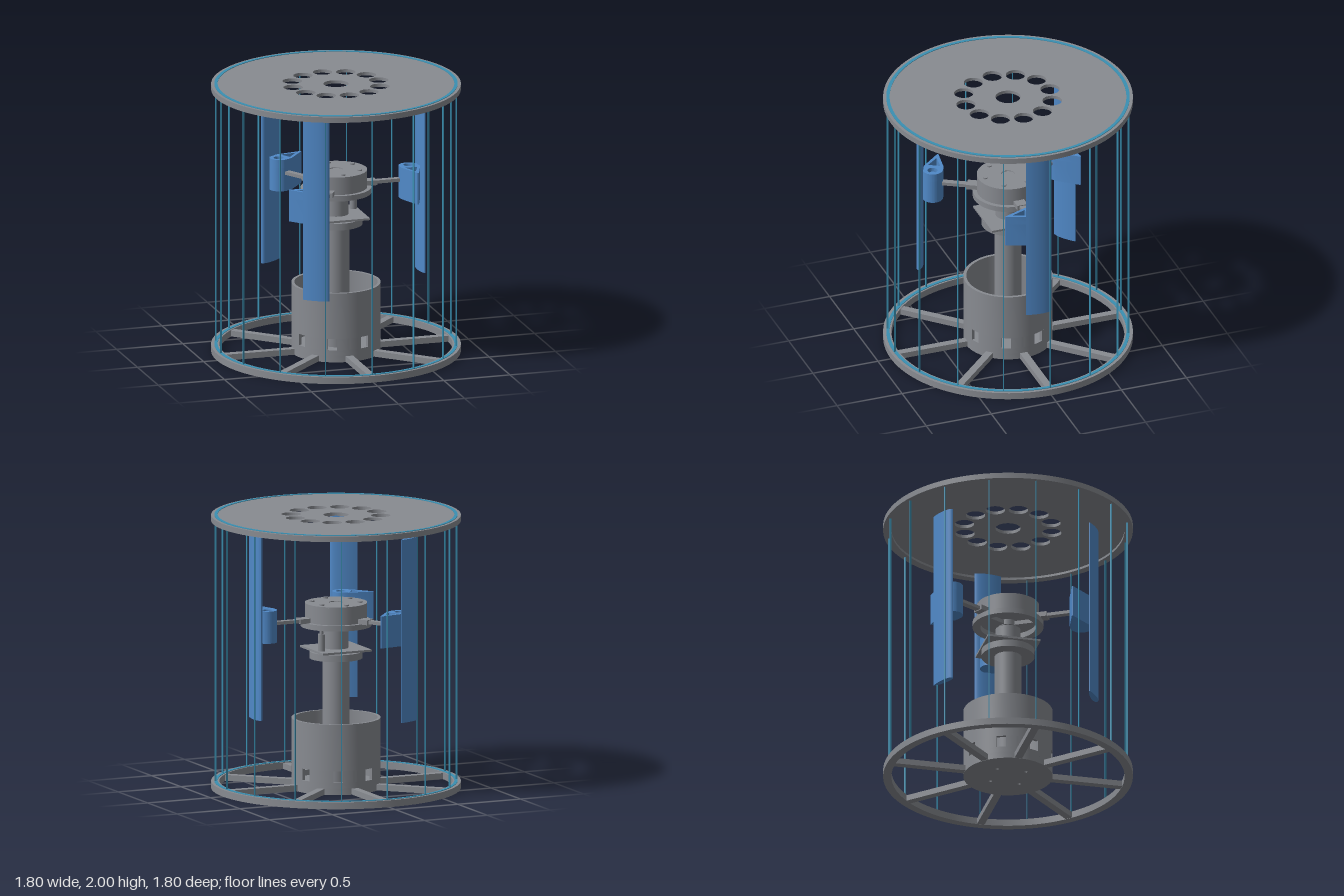
import * as THREE from 'three';
import { toCreasedNormals } from 'three/addons/utils/BufferGeometryUtils.js';

const TAU = Math.PI * 2;

export function createModel() {
  const model = new THREE.Group();
  model.name = 'verticalAxisTurbine';

  const grey = new THREE.MeshStandardMaterial({ name: 'metalGrey', color: 0x888b91 });
  const blue = new THREE.MeshStandardMaterial({ name: 'bladeBlue', color: 0x5089c8 });
  const teal = new THREE.MeshStandardMaterial({ name: 'cageTeal', color: 0x3a90b2 });

  // ---- helpers ----
  const add = (name, geo, mat, parent = model) => {
    const m = new THREE.Mesh(geo, mat);
    m.name = name;
    parent.add(m);
    return m;
  };
  // Horizontal slab: shape (x, y) becomes plan (x, z)
  const slab = (shape, y0, y1, segs = 48) => {
    const g = new THREE.ExtrudeGeometry(shape, { depth: y1 - y0, bevelEnabled: false, curveSegments: segs });
    g.rotateX(Math.PI / 2).translate(0, y1, 0);
    return toCreasedNormals(g, 0.5);
  };
  const circle = (r, x = 0, z = 0) => new THREE.Shape().absarc(x, z, r, 0, TAU, false);
  const hole = (r, x = 0, z = 0) => new THREE.Path().absarc(x, z, r, 0, TAU, true);
  const ring = (ro, ri, y0, y1, segs = 64) => {
    const s = circle(ro);
    s.holes.push(hole(ri));
    return slab(s, y0, y1, segs);
  };
  const cyl = (r, y0, y1, x = 0, z = 0, segs = 40) =>
    new THREE.CylinderGeometry(r, r, y1 - y0, segs).translate(x, (y0 + y1) / 2, z);
  const box = (x0, x1, y0, y1, w) =>
    new THREE.BoxGeometry(x1 - x0, y1 - y0, w).translate((x0 + x1) / 2, (y0 + y1) / 2, 0);
  // Group whose local +x points outward at angle a in the x-z plane
  const spun = (name, a, parent = model) => {
    const g = new THREE.Group();
    g.name = name;
    g.rotation.y = -a;
    parent.add(g);
    return g;
  };

  // ---- base wheel ----
  add('baseRing', ring(0.9, 0.84, 0, 0.05), grey);
  const floor = circle(0.322);
  for (let i = 0; i < 4; i++) {
    const a = (i + 0.5) * TAU / 4;
    floor.holes.push(hole(0.012, 0.15 * Math.cos(a), 0.15 * Math.sin(a)));
  }
  add('baseFloor', slab(floor, 0, 0.05), grey);
  for (let i = 0; i < 8; i++) {
    add('baseSpoke', box(0.31, 0.85, 0.002, 0.045, 0.055), grey, spun('spoke', i * TAU / 8));
  }

  // ---- hollow drum with eight square windows ----
  add('drumLower', ring(0.322, 0.3, 0.05, 0.09), grey);
  add('drumUpper', ring(0.322, 0.3, 0.175, 0.515), grey);
  const half = 0.108;
  for (let i = 0; i < 8; i++) {
    const a0 = (i - 0.5) * TAU / 8 + half;
    const a1 = (i + 0.5) * TAU / 8 - half;
    const s = new THREE.Shape();
    s.absarc(0, 0, 0.322, a0, a1, false);
    s.absarc(0, 0, 0.3, a1, a0, true);
    s.closePath();
    add('drumPier', slab(s, 0.09, 0.175, 10), grey);
  }

  // ---- mast, flange and generator ----
  add('mast', cyl(0.097, 0.05, 0.95), grey);
  add('mastFlange', cyl(0.192, 0.95, 1.0, 0, 0, 56), grey);
  add('mountPlate', new THREE.BoxGeometry(0.39, 0.015, 0.39).translate(0, 1.0175, 0), grey);
  add('generator', cyl(0.09, 1.02, 1.165), grey);
  add('rotorShaft', cyl(0.025, 1.165, 1.24, 0, 0, 24), grey);
  add('sensorPost', cyl(0.026, 1.025, 1.15, 0.16, -0.095, 24), grey);
  add('sensorTip', cyl(0.013, 1.15, 1.175, 0.16, -0.095, 16), grey);

  // ---- rotor hub ----
  add('hubLowerRing', ring(0.255, 0.2, 1.185, 1.225), grey);
  add('hubBoss', cyl(0.06, 1.185, 1.225), grey);
  add('hubDrum', cyl(0.225, 1.225, 1.35, 0, 0, 56), grey);
  add('hubCap', ring(0.225, 0.05, 1.35, 1.356), grey);
  for (let i = 0; i < 6; i++) {
    const a = (i + 0.5) * TAU / 6;
    add('hubBolt', cyl(0.018, 1.35, 1.366, 0.175 * Math.cos(a), 0.175 * Math.sin(a), 6), grey);
  }

  // ---- blade section: rounded nose, thin tail ----
  const foil = new THREE.Shape();
  foil.moveTo(0.645, 0.1);
  foil.bezierCurveTo(0.668, 0.03, 0.672, -0.08, 0.642, -0.096);
  foil.bezierCurveTo(0.612, -0.1, 0.606, 0.0, 0.638, 0.1);
  foil.closePath();

  // ---- pod section: round nose, straight sides to a tapered tail ----
  const podShape = () => {
    const s = new THREE.Shape();
    s.absarc(0.55, 0, 0.074, Math.PI, TAU, false);
    s.lineTo(0.62, 0.05);
    s.lineTo(0.556, 0.225);
    s.lineTo(0.546, 0.225);
    s.lineTo(0.478, 0.05);
    s.closePath();
    return s;
  };
  const podTop = podShape();
  podTop.holes.push(hole(0.036, 0.55, -0.012));
  const pocket = new THREE.Path();
  pocket.moveTo(0.505, 0.06);
  pocket.lineTo(0.55, 0.17);
  pocket.lineTo(0.595, 0.06);
  pocket.closePath();
  podTop.holes.push(pocket);

  const bladeGeo = slab(foil, 0.55, 1.89, 14);
  const podGeo = slab(podShape(), 1.105, 1.28, 20);
  const podTopGeo = slab(podTop, 1.28, 1.34, 20);

  // ---- three arms with pods and blades ----
  for (let i = 0; i < 3; i++) {
    const arm = spun('rotorArm', i * TAU / 3);
    add('hubRib', box(0.03, 0.22, 1.19, 1.22, 0.04), grey, arm);
    add('armClamp', box(0.2, 0.3, 1.222, 1.258, 0.08), grey, arm);
    add('arm', box(0.28, 0.52, 1.228, 1.252, 0.045), grey, arm);
    add('bladePod', podGeo, blue, arm);
    add('bladePodTop', podTopGeo, blue, arm);
    add('podPin', cyl(0.02, 1.28, 1.32, 0.55, -0.012, 6), blue, arm);
    add('blade', bladeGeo, blue, arm);
  }

  // ---- top cover with a ring of twelve holes ----
  const cover = circle(0.86);
  cover.holes.push(hole(0.09));
  for (let i = 0; i < 12; i++) {
    const a = i * TAU / 12;
    cover.holes.push(hole(0.07, 0.323 * Math.cos(a), 0.323 * Math.sin(a)));
  }
  add('topCover', slab(cover, 1.972, 1.996), grey);
  add('topRim', ring(0.9, 0.84, 1.955, 1.996), grey);

  // ---- cage: end hoops and sixteen slim uprights ----
  add('topHoop', ring(0.877, 0.853, 1.99, 2.0), teal);
  add('baseHoop', ring(0.877, 0.853, 0.04, 0.054), teal);
  for (let i = 0; i < 16; i++) {
    add('cageUpright', box(0.863, 0.876, 0.04, 1.97, 0.006), teal, spun('upright', i * TAU / 16));
  }

  return model;
}
